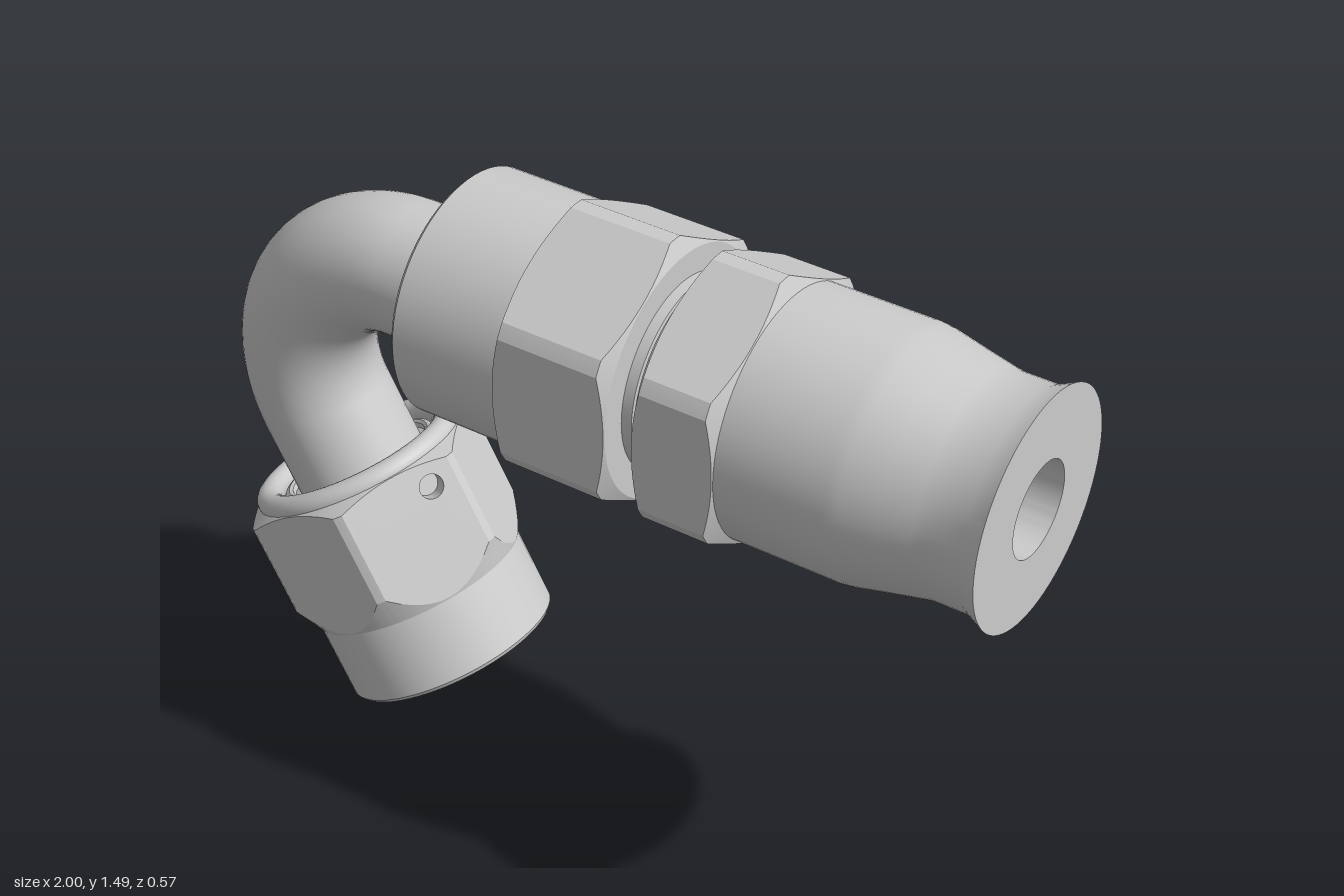
import * as THREE from 'three';
import { toCreasedNormals } from 'three/addons/utils/BufferGeometryUtils.js';

const material = new THREE.MeshStandardMaterial({ color: 0xcccccc });
const TUBE_R = 0.155, BEND_R = 0.31, AXIS_Y = 1.175;

function add(parent, name, geometry) {
  const mesh = new THREE.Mesh(geometry, material);
  mesh.name = name;
  parent.add(mesh);
  return mesh;
}

// Turned part about y; profile is [radius, height], counter-clockwise
function turned(profile) {
  const pts = profile.map(([r, y]) => new THREE.Vector2(r, y));
  return toCreasedNormals(new THREE.LatheGeometry(pts, 72), 0.45);
}

function rod(y0, y1) {
  return new THREE.CylinderGeometry(TUBE_R, TUBE_R, y1 - y0, 48, 1, true).translate(0, (y0 + y1) / 2, 0);
}

// Hexagon about y with corners cut to a cylinder and conical chamfers at both ends.
// An optional square window is left open in the first face for a drilled hole.
function hexagon({ y0, y1, apothem, cut, inner, base, slope0, slope1, window }) {
  const limit = Math.acos(apothem / cut), half = Math.PI / 6;
  const phis = [-half, -(half + limit) / 2, (half + limit) / 2];
  for (let i = 0; i <= 12; i++) phis.push(Math.atan(Math.tan(limit) * (i / 6 - 1)));
  const uMid = window ? window.u : 0;
  if (window) for (const s of [-1, 1]) phis.push(Math.atan((window.u + s * window.size) / apothem));
  phis.sort((a, b) => a - b);

  const columns = [];
  for (let face = 0; face < 6; face++) {
    for (const phi of phis) {
      const h = Math.min(apothem / Math.cos(phi), cut);
      const rows = [[inner, y0], [base, y0], [h, y0 + (h - base) * slope0]];
      if (window) rows.push([h, window.y - window.size], [h, window.y + window.size]);
      rows.push([h, y1 - (h - base) * slope1], [base, y1], [inner, y1]);
      columns.push({ face, u: apothem * Math.tan(phi), angle: half + face * Math.PI / 3 + phi, rows });
    }
  }
  const n = columns[0].rows.length, position = [], index = [];
  for (const { angle, rows } of columns)
    for (const [r, y] of rows) position.push(r * Math.cos(angle), y, r * Math.sin(angle));
  columns.forEach((col, j) => {
    const k = (j + 1) % columns.length;
    const mid = (col.u + columns[k].u) / 2;
    for (let i = 0; i < n - 1; i++) {
      if (window && col.face === 0 && i === 3 && Math.abs(mid - uMid) < window.size) continue;
      const a = j * n + i, c = k * n + i;
      index.push(a, a + 1, c, a + 1, c + 1, c);
    }
  });
  const geometry = new THREE.BufferGeometry();
  geometry.setAttribute('position', new THREE.Float32BufferAttribute(position, 3));
  geometry.setIndex(index);
  return toCreasedNormals(geometry, 0.25);
}

export function createModel() {
  const model = new THREE.Group();
  model.name = 'angledHoseFitting';

  // Straight hose end: local y runs along world x
  const hoseEnd = new THREE.Group();
  hoseEnd.name = 'hoseEnd';
  hoseEnd.rotation.z = -Math.PI / 2;
  hoseEnd.position.y = AXIS_Y;
  model.add(hoseEnd);

  add(hoseEnd, 'bodyAndSocket', turned([
    [TUBE_R, -0.35], [0.165, -0.352], [0.18, -0.365], [0.188, -0.39],
    [0.27, -0.39], [0.28, -0.38], [0.28, 0.16],
    [0.222, 0.16], [0.222, 0.185], [0.21, 0.187], [0.21, 0.192], [0.228, 0.194], [0.235, 0.205], [0.235, 0.225],
    [0.283, 0.225], [0.283, 0.67], [0.279, 0.70], [0.262, 0.78], [0.248, 0.85],
    [0.245, 0.87], [0.245, 0.955], [0.266, 1],
    [0.107, 1], [0.107, 0.3], [0, 0.22],
  ]));
  const collar = { apothem: 0.286, cut: 0.32, inner: 0.22, base: 0.283, slope0: 0.5, slope1: 0.5 };
  add(hoseEnd, 'bodyHexagon', hexagon({ ...collar, y0: -0.12, y1: 0.16 }));
  add(hoseEnd, 'socketHexagon', hexagon({ ...collar, y0: 0.225, y1: 0.42 }));
  add(hoseEnd, 'upperTube', rod(-0.535, -0.34));

  // Elbow, turning through 120 degrees
  const bend = add(model, 'elbowBend', new THREE.TorusGeometry(BEND_R, TUBE_R, 48, 64, Math.PI * 2 / 3));
  bend.position.set(-0.535, AXIS_Y - BEND_R, 0);
  bend.rotation.z = Math.PI / 2;

  // Swivel nut: local origin at its mouth, local y back up to the bend
  const nut = new THREE.Group();
  nut.name = 'swivelNut';
  nut.position.set(-0.4685, 0.1298, 0);
  nut.rotation.z = Math.PI / 6;
  model.add(nut);

  add(nut, 'lowerTube', rod(0.4, 0.67));
  add(nut, 'nutSleeve', turned([
    [0, 0.62], [0.107, 0.6], [0.107, 0.36], [0.165, 0.29], [0.2, 0.28], [0.2, 0.035],
    [0.226, 0.014], [0.23, 0], [0.25, 0], [0.258, 0.01], [0.258, 0.2],
  ]));
  const hole = { u: -0.076, y: 0.444, size: 0.034 }, apothem = 0.26;
  add(nut, 'nutHexagon', hexagon({
    y0: 0.19, y1: 0.51, apothem, cut: 0.294, inner: 0.21, base: 0.258, slope0: 2, slope1: 0.6, window: hole,
  }));
  const rim = add(nut, 'rolledRim', new THREE.TorusGeometry(0.228, 0.03, 20, 72));
  rim.rotation.x = Math.PI / 2;
  rim.position.y = 0.515;
  add(nut, 'rimSeat', turned([
    [0.215, 0.495], [0.19, 0.495], [0.188, 0.512], [0.178, 0.516], [0.17, 0.512], [0.168, 0.5], [TUBE_R, 0.5],
  ]));

  // Small drilled hole set into the first face of the nut
  const drilled = new THREE.Group();
  drilled.name = 'wireHole';
  const a = Math.PI / 6;
  drilled.position.set(
    apothem * Math.cos(a) - hole.u * Math.sin(a), hole.y, apothem * Math.sin(a) + hole.u * Math.cos(a));
  drilled.rotation.y = Math.PI / 3;
  nut.add(drilled);
  const s = hole.size;
  const plate = new THREE.Shape([[-s, -s], [s, -s], [s, s], [-s, s]].map(([x, y]) => new THREE.Vector2(x, y)));
  plate.holes.push(new THREE.Path().absarc(0, 0, 0.029, 0, Math.PI * 2, true));
  const depth = 0.05;
  add(drilled, 'holeWall', new THREE.ExtrudeGeometry(plate, { depth, bevelEnabled: false, curveSegments: 24 })
    .translate(0, 0, -depth));
  add(drilled, 'holeFloor', new THREE.CircleGeometry(0.031, 24).translate(0, 0, -depth + 0.002));

  return model;
}
